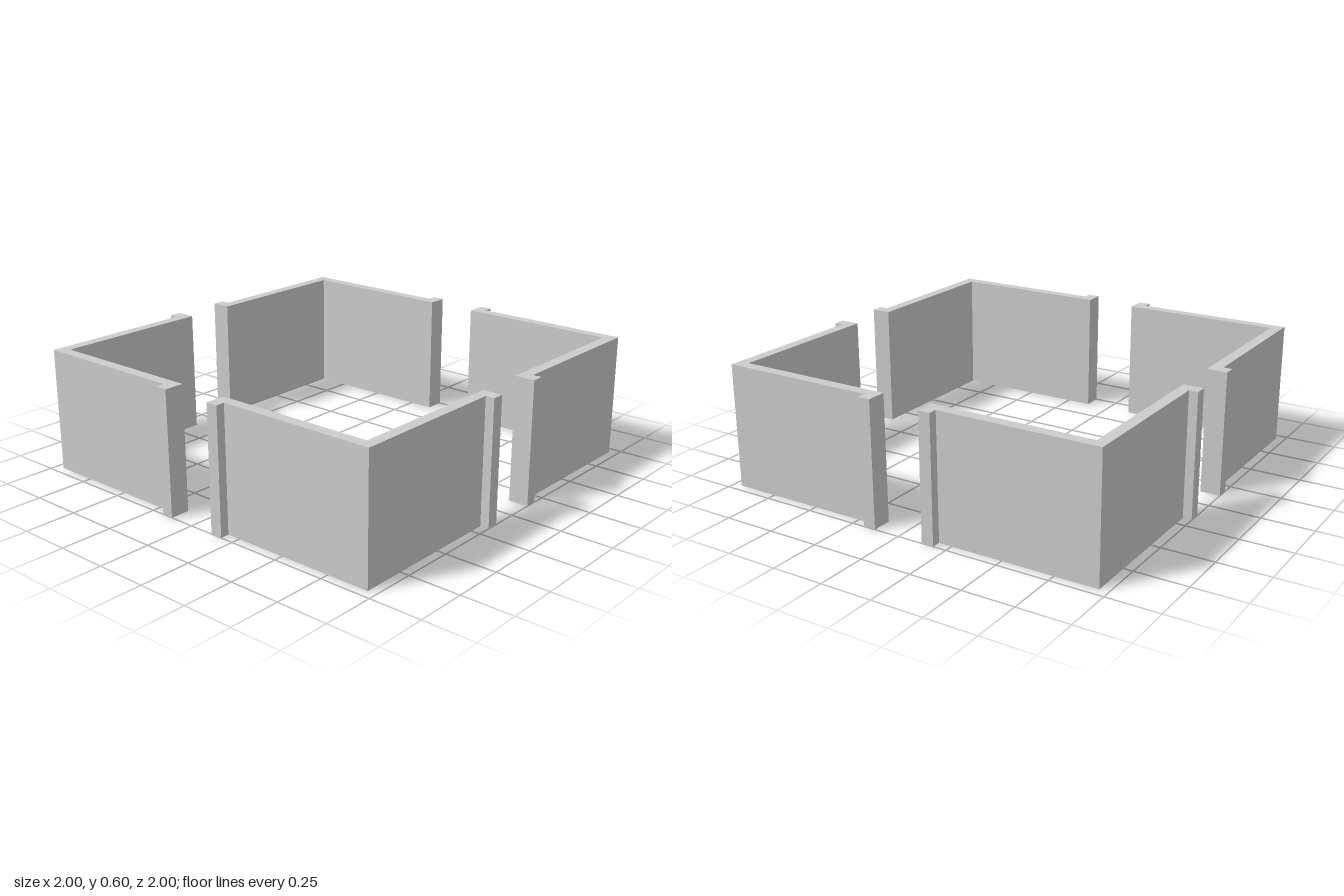
import * as THREE from 'three';

const HEIGHT = 0.6;
const GAP = 0.126;    // half width of each opening
const LIP = 0.185;    // far edge of the post beside an opening
const INNER = 0.903;  // inner wall face
const OUTER = 0.957;  // outer wall face
const EDGE = 1;       // outer face of the posts

// L-shaped corner wall whose two ends thicken outwards into door posts
function cornerGeometry() {
  const half = [[INNER, INNER], [INNER, GAP], [EDGE, GAP], [EDGE, LIP], [OUTER, LIP], [OUTER, OUTER]];
  const mirrored = half.slice(1, -1).reverse().map(([x, y]) => [y, x]);
  const outline = [...half, ...mirrored].map(([x, y]) => new THREE.Vector2(x, y));
  const geometry = new THREE.ExtrudeGeometry(new THREE.Shape(outline), { depth: HEIGHT, bevelEnabled: false });
  return geometry.rotateX(-Math.PI / 2);
}

export function createModel() {
  const model = new THREE.Group();
  model.name = 'squareEnclosure';
  const material = new THREE.MeshStandardMaterial({ color: 0xcccccc, flatShading: true });
  const geometry = cornerGeometry();

  // Four identical corners around the centre, leaving an opening in each side
  const names = ['backLeftCorner', 'backRightCorner', 'frontRightCorner', 'frontLeftCorner'];
  names.forEach((name, i) => {
    const corner = new THREE.Mesh(geometry, material);
    corner.name = name;
    corner.rotation.y = i * Math.PI / 2;
    model.add(corner);
  });
  return model;
}
